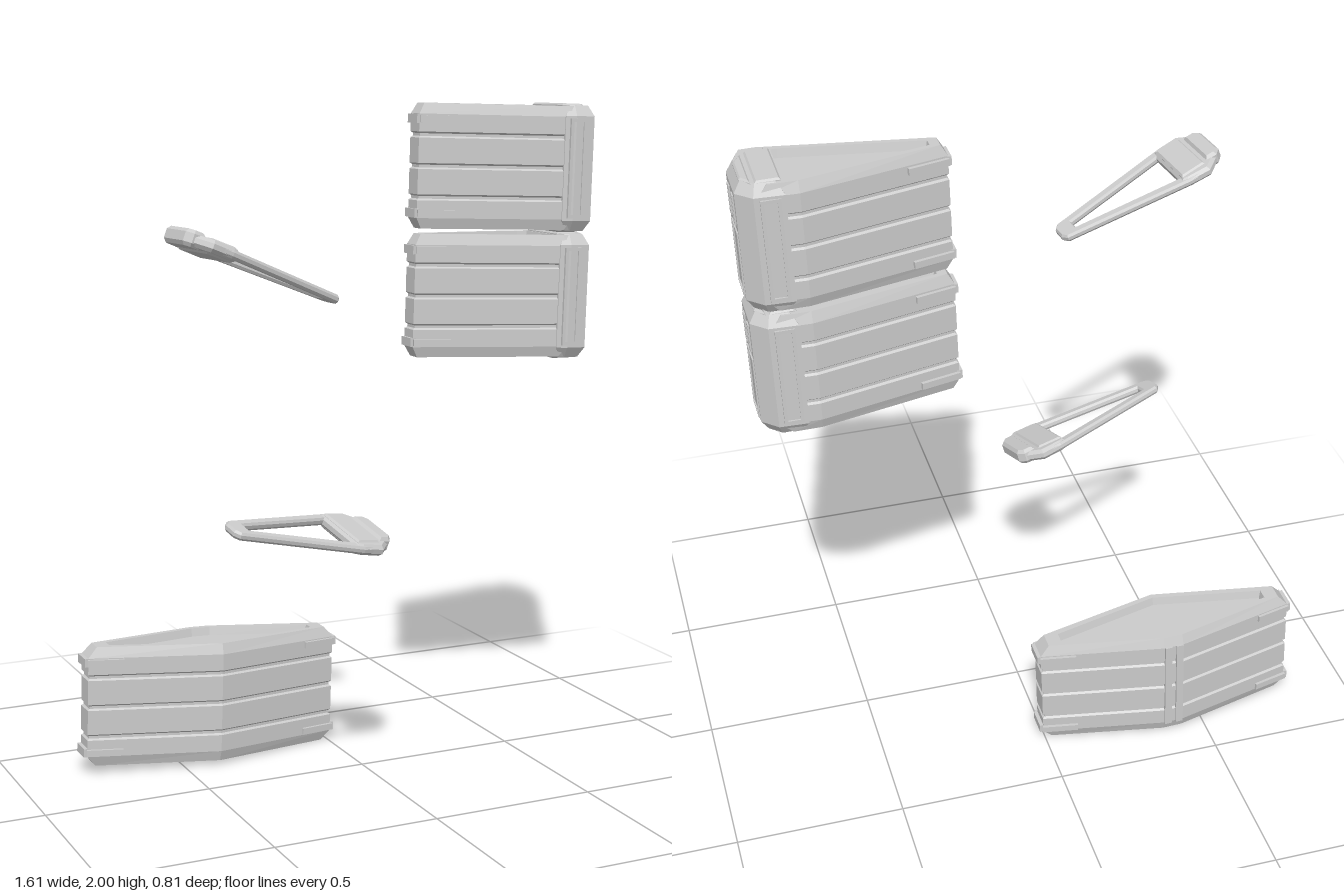
import * as THREE from 'three';

const mat = new THREE.MeshStandardMaterial({ color: 0xcccccc });

function add(parent, name, geo, x = 0, y = 0, z = 0) {
  const m = new THREE.Mesh(geo, mat);
  m.name = name;
  m.position.set(x, y, z);
  parent.add(m);
  return m;
}

// Shrinks a convex [x, z] outline by d
function inset(poly, d) {
  const n = poly.length;
  const normal = (a, b) => {
    const dx = b[0] - a[0], dz = b[1] - a[1], l = Math.hypot(dx, dz);
    return [dz / l, -dx / l];
  };
  return poly.map((p, i) => {
    const a = normal(poly[(i + n - 1) % n], p), b = normal(p, poly[(i + 1) % n]);
    const k = d / (1 + a[0] * b[0] + a[1] * b[1]);
    return [p[0] + k * (a[0] + b[0]), p[1] + k * (a[1] + b[1])];
  });
}

const blend = (p, q, t) => p.map((a, i) => [a[0] + (q[i][0] - a[0]) * t, a[1] + (q[i][1] - a[1]) * t]);

// Faceted solid through rings [outline, y]; both ends are closed
function loft(rings) {
  const pos = [];
  const pt = ([o, y], i) => [o[i % o.length][0], y, o[i % o.length][1]];
  const n = rings[0][0].length;
  for (let r = 0; r < rings.length - 1; r++) {
    for (let i = 0; i < n; i++) {
      const a = pt(rings[r], i), b = pt(rings[r], i + 1);
      const c = pt(rings[r + 1], i + 1), d = pt(rings[r + 1], i);
      pos.push(...a, ...b, ...c, ...a, ...c, ...d);
    }
  }
  for (const [ring, flip] of [[rings[0], true], [rings[rings.length - 1], false]]) {
    for (let i = 1; i < n - 1; i++) {
      const a = pt(ring, 0), b = pt(ring, i), c = pt(ring, i + 1);
      pos.push(...a, ...(flip ? c : b), ...(flip ? b : c));
    }
  }
  const g = new THREE.BufferGeometry();
  g.setAttribute('position', new THREE.Float32BufferAttribute(pos, 3));
  g.computeVertexNormals();
  return g;
}

// Chamfered block standing on an outline
function block(outline, y0, y1, cut, chamfer) {
  const small = inset(outline, cut);
  return loft([[small, y0], [outline, y0 + chamfer], [outline, y1 - chamfer], [small, y1]]);
}

// Grooved body with a sunken panel in its top and bottom
function shell(outline, recess, h) {
  const rim = blend(outline, recess, 0.4), floor = inset(recess, 0.006), groove = inset(outline, 0.006);
  const t = h / 2;
  const rings = [[floor, -t + 0.025], [recess, -t], [rim, -t], [outline, -t + 0.032]];
  for (const y of [-0.093, 0, 0.093]) {
    rings.push([outline, y - 0.009], [groove, y - 0.004], [groove, y + 0.004], [outline, y + 0.009]);
  }
  rings.push([outline, t - 0.032], [rim, t], [recess, t], [floor, t - 0.025]);
  return loft(rings);
}

// Bar lying along a wall from a to b
function bar(parent, name, a, b, y, h, thick) {
  const dx = b[0] - a[0], dz = b[1] - a[1];
  const m = add(parent, name, new THREE.BoxGeometry(Math.hypot(dx, dz), h, thick),
    (a[0] + b[0]) / 2, y, (a[1] + b[1]) / 2);
  m.rotation.y = -Math.atan2(dz, dx);
}

// Clip wrapped round a narrow end
function latch(parent, front, endFront, endBack, back, y) {
  const g = new THREE.Group();
  g.name = 'latch';
  parent.add(g);
  bar(g, 'latchArm', front, endFront, y, 0.02, 0.016);
  bar(g, 'latchEnd', endFront, endBack, y, 0.026, 0.018);
  bar(g, 'latchArm', endBack, back, y, 0.02, 0.016);
}

// Raised rectangular frame, facing +z
function frame(w, h, border) {
  const rect = (S, a, b) => new S([[-a, -b], [a, -b], [a, b], [-a, b]].map(p => new THREE.Vector2(...p)));
  const s = rect(THREE.Shape, w / 2, h / 2);
  s.holes.push(rect(THREE.Path, w / 2 - border, h / 2 - border));
  return new THREE.ExtrudeGeometry(s, { depth: 0.008, bevelEnabled: false });
}

function wedgeCrate() {
  const g = new THREE.Group();
  g.name = 'wedgeCrate';
  const body = [[-0.28, 0.015], [0.2, 0.117], [0.24, 0.117], [0.24, -0.118], [0.13, -0.124], [-0.28, -0.043]];
  const recess = [[-0.235, 0], [0.15, 0.082], [0.168, 0.082], [0.168, -0.1], [0.13, -0.096], [-0.235, -0.028]];
  add(g, 'wedgeBody', shell(body, recess, 0.374));
  // Thick end cap
  const cap = [[0.167, 0.113], [0.2, 0.122], [0.262, 0.122], [0.293, 0.05], [0.293, -0.077], [0.25, -0.12], [0.167, -0.126]];
  add(g, 'endCap', block(cap, -0.19, 0.19, 0.02, 0.032));
  const inner = [[0.172, 0.08], [0.24, 0.08], [0.24, -0.1], [0.172, -0.1]];
  const outer = [[0.25, 0.075], [0.276, 0.03], [0.276, -0.065], [0.25, -0.095]];
  add(g, 'capPlate', block(inner, -0.195, 0.195, 0.005, 0.005));
  add(g, 'capEdgePlate', block(outer, -0.194, 0.194, 0.005, 0.005));
  // Side and end panels
  add(g, 'sidePanel', frame(0.055, 0.3, 0.01), 0.207, 0, 0.118);
  add(g, 'sidePanel', frame(0.055, 0.3, 0.01), 0.207, 0, -0.12).rotation.y = Math.PI;
  for (const [z, y, w, h] of [[0.013, 0.1, 0.026, 0.085], [-0.046, 0.1, 0.026, 0.085], [-0.025, -0.055, 0.09, 0.19]]) {
    add(g, 'endPanel', frame(w, h, 0.006), 0.289, y, z).rotation.y = Math.PI / 2;
  }
  for (const y of [-0.14, 0.14]) {
    latch(g, [-0.165, 0.041], [-0.28, 0.017], [-0.28, -0.045], [-0.165, -0.068], y);
  }
  return g;
}

function diamondCrate() {
  const g = new THREE.Group();
  g.name = 'diamondCrate';
  const body = [[-0.4, 0.033], [0, 0.116], [0.4, 0.033], [0.4, -0.033], [0.03, -0.113], [-0.03, -0.113], [-0.4, -0.033]];
  const recess = [[-0.33, 0.017], [0, 0.09], [0.33, 0.017], [0.33, -0.017], [0.03, -0.085], [-0.03, -0.085], [-0.33, -0.017]];
  add(g, 'diamondBody', shell(body, recess, 0.37));
  // Ribbed joint on the back corner
  for (const x of [-0.018, 0.018]) {
    add(g, 'backRib', new THREE.BoxGeometry(0.022, 0.31, 0.012), x, 0, -0.113);
  }
  for (const s of [-1, 1]) for (const y of [-0.14, 0.14]) {
    latch(g, [s * 0.295, 0.056], [s * 0.402, 0.034], [s * 0.402, -0.034], [s * 0.295, -0.056], y);
  }
  return g;
}

// Open triangular lid: wide end at x = 0, narrow end along +x
function lid(axis, width, x, y, z) {
  const g = new THREE.Group();
  g.name = 'frameLid';
  const path = (S, pts) => new S(pts.map(p => new THREE.Vector2(...p)));
  const s = path(THREE.Shape, [[0.06, -0.105], [0.11, -0.105], [0.5, -0.036], [0.511, -0.02],
    [0.511, 0.02], [0.5, 0.036], [0.11, 0.105], [0.06, 0.105]]);
  s.holes.push(path(THREE.Path, [[0.1, -0.085], [0.1, 0.085], [0.468, 0.022], [0.468, -0.022]]));
  const ring = new THREE.ExtrudeGeometry(s, { depth: 0.01, bevelSize: 0.005, bevelThickness: 0.007, bevelSegments: 1 });
  ring.translate(0, 0, -0.005).rotateX(-Math.PI / 2);
  add(g, 'lidFrame', ring);
  // Solid wide end with raised panel and pull tab
  const cap = [[0.005, 0.075], [0.045, 0.112], [0.115, 0.108], [0.135, 0.1], [0.135, -0.1], [0.115, -0.108], [0.045, -0.112], [0.005, -0.075]];
  add(g, 'lidCap', block(cap, -0.017, 0.017, 0.01, 0.01));
  const panel = [[0.045, 0.085], [0.127, 0.09], [0.127, -0.09], [0.045, -0.085]];
  add(g, 'lidPanel', block(panel, -0.022, 0.022, 0.006, 0.006));
  const tab = [[-0.017, 0.055], [0, 0.075], [0.036, 0.075], [0.036, -0.075], [0, -0.075], [-0.017, -0.055]];
  add(g, 'lidTab', block(tab, -0.02, 0.026, 0.008, 0.01));
  const X = new THREE.Vector3(...axis).normalize();
  const Y = new THREE.Vector3(...width).cross(X).normalize();
  const Z = new THREE.Vector3().crossVectors(X, Y);
  g.quaternion.setFromRotationMatrix(new THREE.Matrix4().makeBasis(X, Y, Z));
  g.position.set(x, y, z);
  return g;
}

export function createModel() {
  const model = new THREE.Group();
  model.name = 'crateSet';

  // Two wedge crates stacked
  const stack = new THREE.Group();
  stack.name = 'crateStack';
  for (const y of [-0.195, 0.195]) {
    const c = wedgeCrate();
    c.position.y = y;
    stack.add(c);
  }
  stack.position.set(0.5, 1.61, -0.1);
  stack.rotation.z = -0.028;
  model.add(stack);

  // Diamond crate on the ground
  const diamond = diamondCrate();
  diamond.position.set(-0.387, 0.2, -0.29);
  diamond.rotation.z = -0.036;
  model.add(diamond);

  // Two loose lids
  model.add(lid([0.477, -0.195, -0.058], [0.117, 0, 0.993], -0.67, 1.66, 0.292));
  model.add(lid([-0.5, 0.088, 0.12], [-0.047, 0.07, -0.23], -0.04, 0.762, 0.16));
  return model;
}
